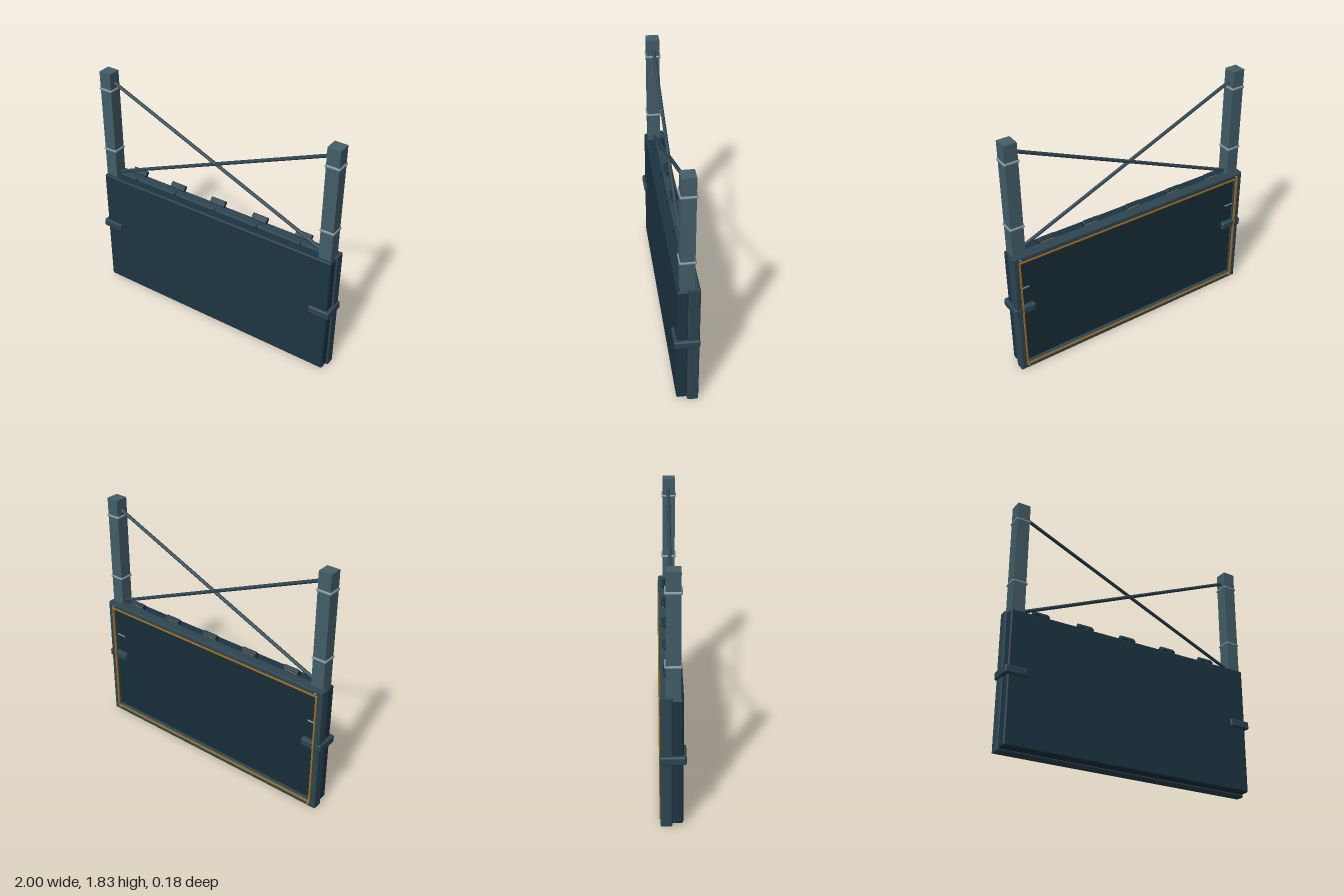
import * as THREE from 'three';
import { RoundedBoxGeometry } from 'three/addons/geometries/RoundedBoxGeometry.js';

const mat = (color) => new THREE.MeshStandardMaterial({ color });
const M = {
  panel: mat(0x1c3542), frame: mat(0x2d4551), recess: mat(0x172c37), post: mat(0x435e68),
  ring: mat(0x7d9299), lamp: mat(0x1c3542), lens: mat(0xa89a80), trim: mat(0xa8701f), bolt: mat(0x8fa0a6),
};

export function createModel() {
  const root = new THREE.Group();
  root.name = 'signboard';

  const add = (name, geo, material, x = 0, y = 0, z = 0, parent = root) => {
    const m = new THREE.Mesh(geo, material);
    m.name = name;
    m.position.set(x, y, z);
    parent.add(m);
    return m;
  };
  const rbox = (w, h, d, r) => new RoundedBoxGeometry(w, h, d, 2, r);
  // Round rod between two points
  const rod = (name, a, b, r, material, parent = root) => {
    const d = b.clone().sub(a);
    const m = add(name, new THREE.CylinderGeometry(r, r, d.length(), 10), material, 0, 0, 0, parent);
    m.position.copy(a).add(b).multiplyScalar(0.5);
    m.quaternion.setFromUnitVectors(new THREE.Vector3(0, 1, 0), d.normalize());
    return m;
  };
  const V = (x, y, z) => new THREE.Vector3(x, y, z);
  // Rectangular ring, centred on the origin
  const rectRing = (w, h, bar, depth, bevel) => {
    const rect = (P, a, b) => {
      const p = new P();
      p.moveTo(-a, -b).lineTo(a, -b).lineTo(a, b).lineTo(-a, b).closePath();
      return p;
    };
    const s = rect(THREE.Shape, w / 2 - bevel, h / 2 - bevel);
    s.holes.push(rect(THREE.Path, w / 2 - bar + bevel, h / 2 - bar + bevel));
    const g = new THREE.ExtrudeGeometry(s, {
      depth: depth - 2 * bevel, bevelEnabled: bevel > 0, bevelSize: bevel, bevelThickness: bevel, bevelSegments: 2,
    });
    return g.translate(0, 0, bevel - depth / 2);
  };

  // Closed front cabinet, rear frame and its recessed face
  add('frontPanel', rbox(1.95, 0.96, 0.08, 0.014), M.panel, 0, 0.495, 0.031);
  add('rearFrame', rectRing(1.97, 0.985, 0.05, 0.08, 0.01), M.frame, 0, 0.4925, -0.042);
  add('recessedFace', new THREE.BoxGeometry(1.89, 0.91, 0.05), M.recess, 0, 0.4925, -0.025);
  add('frameTrim', rectRing(1.89, 0.915, 0.012, 0.012, 0), M.trim, 0, 0.4925, -0.082);

  for (const s of [-1, 1]) {
    // Posts with bands
    add('post', new THREE.BoxGeometry(0.095, 1.79, 0.095), M.post, s * 0.915, 0.935, 0.003);
    for (const y of [0.7, 1.2, 1.695])
      add('postBand', rbox(0.112, 0.02, 0.112, 0.009), M.ring, s * 0.915, y, 0.003);

    // Side clamps and corner bolts
    add('sideClamp', rbox(0.165, 0.06, 0.175, 0.012), M.frame, s * 0.9175, 0.53, 0.0025);
    for (const y of [0.028, 0.965]) {
      const bolt = add('cornerBolt', new THREE.CylinderGeometry(0.006, 0.006, 0.012, 8), M.bolt, s * 0.93, y, -0.084);
      bolt.rotation.x = Math.PI / 2;
    }

    // Crossed brace
    rod('crossBrace', V(-s * 0.88, 1.0, 0), V(s * 0.88, 1.75, 0), 0.0125, M.frame);
  }

  // Row of lamps tilted toward the rear face
  for (let i = -2; i <= 2; i++) {
    const lamp = new THREE.Group();
    lamp.name = 'lamp';
    lamp.position.x = i * 0.3525;
    root.add(lamp);
    rod('lampArm', V(0, 0.96, 0.014), V(0, 1.005, 0.014), 0.005, M.lamp, lamp);
    rod('lampElbow', V(0, 1.0, 0.016), V(0, 1.035, -0.03), 0.005, M.lamp, lamp);
    const head = new THREE.Group();
    head.name = 'lampHead';
    head.position.set(0, 1.035, -0.037);
    head.rotation.x = 0.85;
    lamp.add(head);
    add('lampHousing', rbox(0.122, 0.032, 0.046, 0.006), M.lamp, 0, 0, 0, head);
    add('lampLens', new THREE.BoxGeometry(0.104, 0.004, 0.034), M.lens, 0, -0.016, 0, head);
  }
  return root;
}
